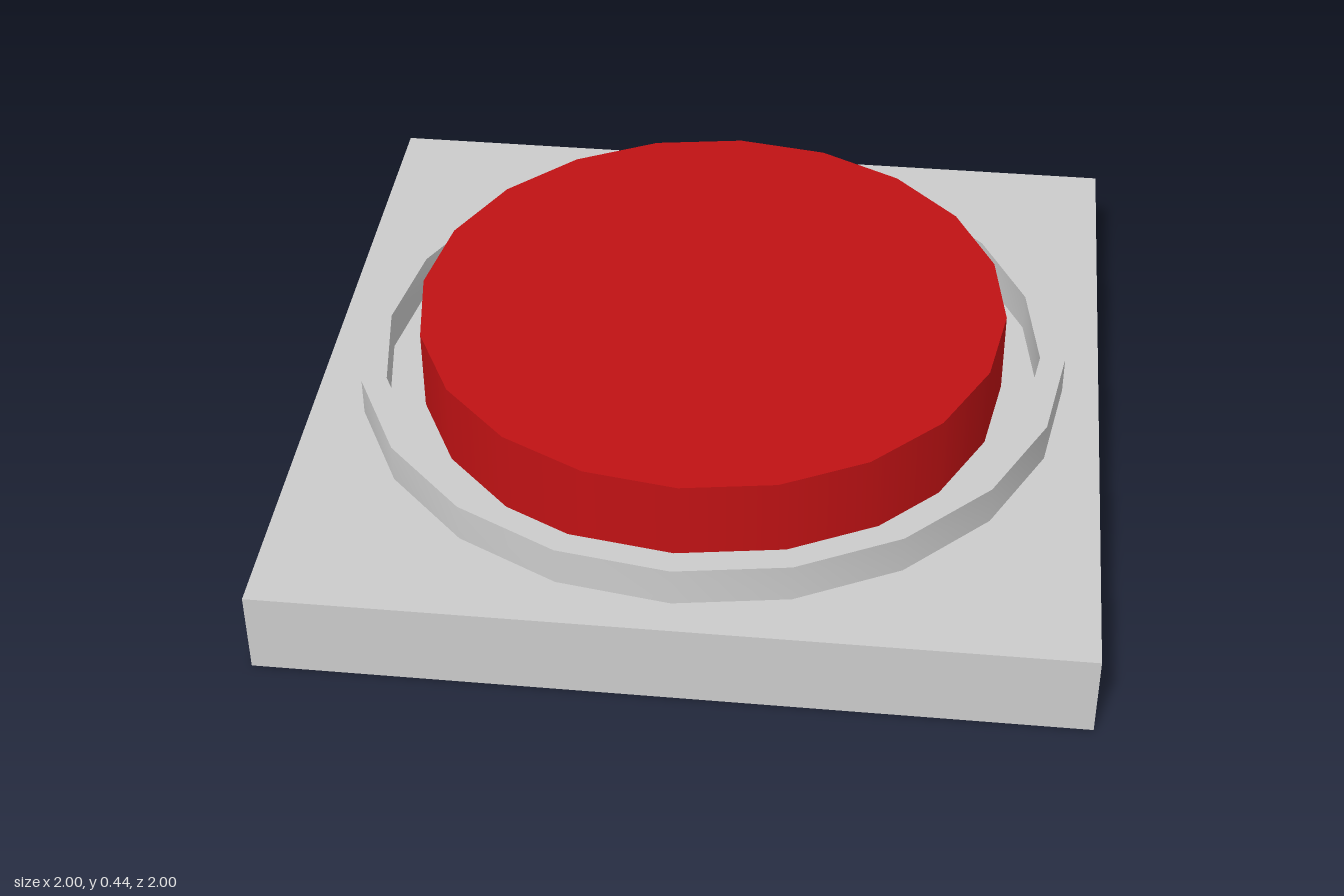
import * as THREE from 'three';
import { toCreasedNormals } from 'three/addons/utils/BufferGeometryUtils.js';

const SIDES = 20;
const BASE_TOP = 0.215;
const RING_TOP = 0.315;
const BUTTON_TOP = 0.435;

export function createModel() {
  const group = new THREE.Group();
  const grey = new THREE.MeshStandardMaterial({ color: 0xcccccc });
  const red = new THREE.MeshStandardMaterial({ color: 0xc01214 });

  const add = (name, geometry, material, y = 0) => {
    const mesh = new THREE.Mesh(geometry, material);
    mesh.name = name;
    mesh.position.y = y;
    group.add(mesh);
  };

  // Square base plate
  add('base', new THREE.BoxGeometry(2, BASE_TOP, 2), grey, BASE_TOP / 2);

  // Raised collar around the button: outer wall, rim, inner wall, underside
  const profile = [
    [0.907, BASE_TOP], [0.907, RING_TOP], [0.843, RING_TOP], [0.843, BASE_TOP], [0.907, BASE_TOP],
  ].map(([r, y]) => new THREE.Vector2(r, y));
  add('collar', toCreasedNormals(new THREE.LatheGeometry(profile, SIDES), 0.6), grey);

  // Push button
  const height = BUTTON_TOP - BASE_TOP;
  add('button', new THREE.CylinderGeometry(0.75, 0.75, height, SIDES), red, BASE_TOP + height / 2);

  return group;
}
